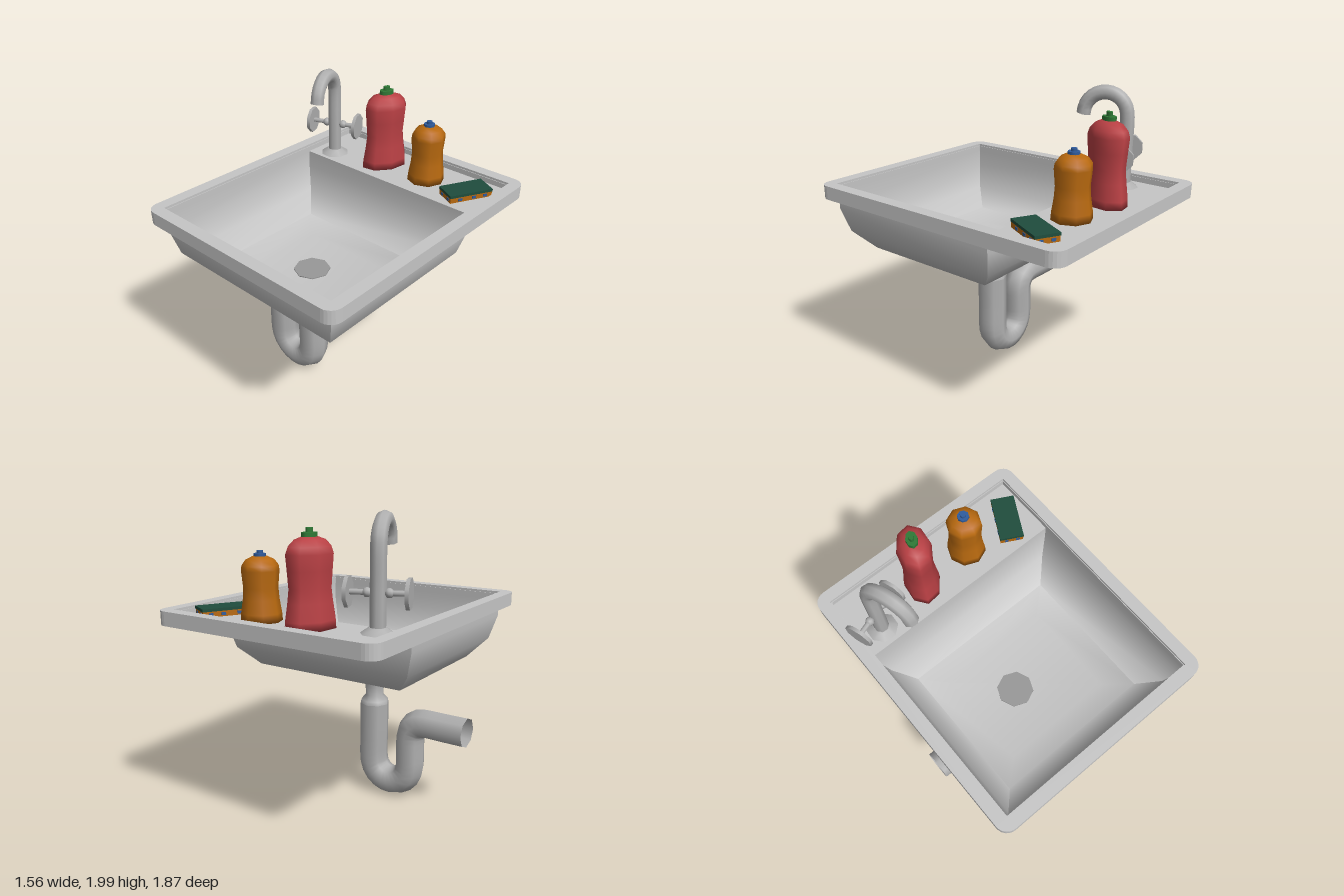
import * as THREE from 'three';
import { toCreasedNormals } from 'three/addons/utils/BufferGeometryUtils.js';

const mat = (name, color, side = THREE.FrontSide) => {
  const m = new THREE.MeshStandardMaterial({ color, side });
  m.name = name;
  return m;
};

const DECK = 1.35; // height of the recessed shelf

export function createModel() {
  const steel = mat('sink steel', 0xc6c6c6, THREE.DoubleSide);
  const metal = mat('pipe metal', 0xb0b0b0, THREE.DoubleSide);
  const drainGrey = mat('drain grey', 0x989898);
  const red = mat('red bottle', 0xb94044);
  const orange = mat('orange', 0xb8690f);
  const green = mat('green cap', 0x2f7a36);
  const blue = mat('blue cap', 0x2f5c9e);
  const scour = mat('scouring green', 0x1f4d3d);

  const model = new THREE.Group();
  model.name = 'sink';
  const add = (parent, name, geo, material, x = 0, y = 0, z = 0) => {
    const m = new THREE.Mesh(geo, material);
    m.name = name;
    m.position.set(x, y, z);
    parent.add(m);
    return m;
  };
  const group = (name, x, z, turn) => {
    const g = new THREE.Group();
    g.name = name;
    g.position.set(x, 0, z);
    g.rotation.y = turn;
    model.add(g);
    return g;
  };

  // Rim: frames with rounded corners, hollow underneath
  const outline = (Path, hx, hz, r) => {
    const p = new Path();
    p.absarc(hx - r, hz - r, r, 0, Math.PI / 2);
    p.absarc(r - hx, hz - r, r, Math.PI / 2, Math.PI);
    p.absarc(r - hx, r - hz, r, Math.PI, Math.PI * 1.5);
    p.absarc(hx - r, r - hz, r, Math.PI * 1.5, Math.PI * 2);
    p.closePath();
    return p;
  };
  const frame = (name, outer, inner, y0, y1) => {
    const s = outline(THREE.Shape, ...outer);
    s.holes.push(outline(THREE.Path, ...inner));
    const geo = new THREE.ExtrudeGeometry(s, { depth: y1 - y0, bevelEnabled: false, curveSegments: 3 });
    add(model, name, geo.rotateX(-Math.PI / 2), steel, 0, y0, 0);
  };
  frame('rimTop', [0.78, 0.935, 0.08], [0.7, 0.855, 0.004], 1.385, 1.4);
  frame('rimSkirt', [0.78, 0.935, 0.08], [0.76, 0.915, 0.065], 1.31, 1.385);
  frame('rimInnerWall', [0.712, 0.867, 0.005], [0.695, 0.85, 0.004], 1.34, 1.385);
  add(model, 'shelf', new THREE.BoxGeometry(1.4, 0.01, 0.445), steel, 0, DECK - 0.005, -0.6325);

  // Basin: rectangular cross-sections [half width, half depth, height]
  const rings = [[0.695, 0.63, 1.35], [0.695, 0.63, 1.23], [0.65, 0.592, 1.07], [0.54, 0.475, 0.945], [0.38, 0.325, 0.9]];
  const pos = [], idx = [];
  for (const [hx, hz, y] of rings)
    for (const [sx, sz] of [[1, 1], [1, -1], [-1, -1], [-1, 1]]) pos.push(sx * hx, y, sz * hz);
  for (let i = 0; i < rings.length - 1; i++)
    for (let j = 0; j < 4; j++) {
      const a = i * 4 + j, b = i * 4 + (j + 1) % 4;
      idx.push(a, a + 4, b + 4, a, b + 4, b);
    }
  const last = (rings.length - 1) * 4;
  idx.push(last, last + 2, last + 1, last, last + 3, last + 2);
  const basin = new THREE.BufferGeometry();
  basin.setAttribute('position', new THREE.Float32BufferAttribute(pos, 3));
  basin.setIndex(idx);
  add(model, 'basin', toCreasedNormals(basin, 0.9), steel, 0, 0, 0.22);
  add(model, 'drain', new THREE.CylinderGeometry(0.122, 0.122, 0.006, 8), drainGrey, -0.08, 0.904, 0.205);

  // Swept pipes: straight runs joined by arcs
  const arc = (cx, cy, r, a0, a1, n) => Array.from({ length: n + 1 }, (_, i) => {
    const a = a0 + (a1 - a0) * i / n;
    return [cx + r * Math.cos(a), cy + r * Math.sin(a)];
  });
  const sweep = (pts, radius, segs) => new THREE.TubeGeometry(
    new THREE.CatmullRomCurve3(pts, false, 'centripetal'), segs, radius, 8);

  // Drain trap: neck, U-bend and outlet
  const lathe = (pts, n = 8) => new THREE.LatheGeometry(pts.map(p => new THREE.Vector2(...p)), n);
  add(model, 'drainNeck', lathe([[0.1, 0.65], [0.095, 0.68], [0.062, 0.715], [0.066, 0.79], [0.072, 0.86], [0.09, 0.9]]),
    metal, -0.08, 0, 0.21);
  const trap = [
    [-0.08, 0.655], [-0.08, 0.45],
    ...arc(-0.225, 0.255, 0.145, 0, -Math.PI, 8),
    [-0.37, 0.36],
    ...arc(-0.48, 0.465, 0.11, 0, Math.PI / 2, 4),
    [-0.62, 0.575], [-0.78, 0.575],
  ].map(([x, y]) => new THREE.Vector3(x, y, 0.21));
  add(model, 'trapPipe', sweep(trap, 0.1, 36), metal);

  // Faucet: flange, gooseneck and two handles
  const faucet = group('faucet', -0.548, -0.53, 0.33);
  add(faucet, 'flange', new THREE.CylinderGeometry(0.05, 0.1, 0.035, 8), metal, 0, DECK + 0.0175, 0);
  const neck = [
    [0, DECK], [0, 1.6],
    ...arc(0.143, 1.815, 0.143, Math.PI, 0, 8),
  ].map(([z, y]) => new THREE.Vector3(0, y, z));
  add(faucet, 'spout', sweep(neck, 0.047, 28), metal);
  for (const s of [-1, 1]) {
    add(faucet, 'handleRod', new THREE.CylinderGeometry(0.016, 0.016, 0.17, 8).rotateZ(Math.PI / 2), metal, s * 0.085, 1.575, 0);
    add(faucet, 'handleCollar', new THREE.SphereGeometry(0.028, 8, 6), metal, s * 0.062, 1.575, 0);
    const knob = new THREE.CylinderGeometry(0.09, 0.09, 0.022, 8).rotateZ(Math.PI / 2);
    add(faucet, 'handleKnob', knob.rotateX(Math.PI / 8), metal, s * 0.17, 1.575, 0);
  }

  // Bottles: lathed body, cap disc and nozzle
  const bottle = (name, x, z, turn, flat, profile, bodyMat, capMat, cap) => {
    const g = group(name, x, z, turn);
    g.scale.set(flat, 1, 1);
    add(g, 'body', lathe(profile), bodyMat);
    const [y, r, h, r2, h2] = cap;
    add(g, 'cap', new THREE.CylinderGeometry(r, r, h, 8), capMat, 0, y + h / 2, 0);
    add(g, 'nozzle', new THREE.CylinderGeometry(r2, r2, h2, 8), capMat, 0, y + h + h2 / 2, 0);
  };
  bottle('largeBottle', -0.163, -0.625, -0.4, 0.69,
    [[0, DECK], [0.168, DECK], [0.165, 1.4], [0.148, 1.5], [0.138, 1.58], [0.146, 1.68], [0.154, 1.77], [0.138, 1.81], [0.1, 1.845], [0.05, 1.862], [0, 1.864]],
    red, green, [1.86, 0.052, 0.026, 0.024, 0.026]);
  bottle('smallBottle', 0.2, -0.625, 0, 1,
    [[0, DECK], [0.125, DECK], [0.121, 1.4], [0.108, 1.48], [0.103, 1.55], [0.112, 1.65], [0.108, 1.68], [0.085, 1.712], [0.045, 1.732], [0, 1.734]],
    orange, blue, [1.728, 0.037, 0.02, 0.019, 0.017]);

  // Sponge: soft body, scouring pad on top, small specks on the sides
  const sponge = group('sponge', 0.53, -0.61, -0.48);
  add(sponge, 'spongeBody', new THREE.BoxGeometry(0.15, 0.035, 0.3), orange, 0, DECK + 0.0185, 0);
  add(sponge, 'scouringPad', new THREE.BoxGeometry(0.155, 0.018, 0.305), scour, 0, 1.395, 0);
  for (const s of [-1, 1]) {
    for (const z of [-0.1, -0.02, 0.08])
      add(sponge, 'speck', new THREE.BoxGeometry(0.004, 0.018, 0.028), blue, s * 0.076, DECK + 0.018, z);
    for (const x of [-0.035, 0.04])
      add(sponge, 'speck', new THREE.BoxGeometry(0.025, 0.018, 0.004), blue, x, DECK + 0.018, s * 0.151);
  }
  return model;
}
